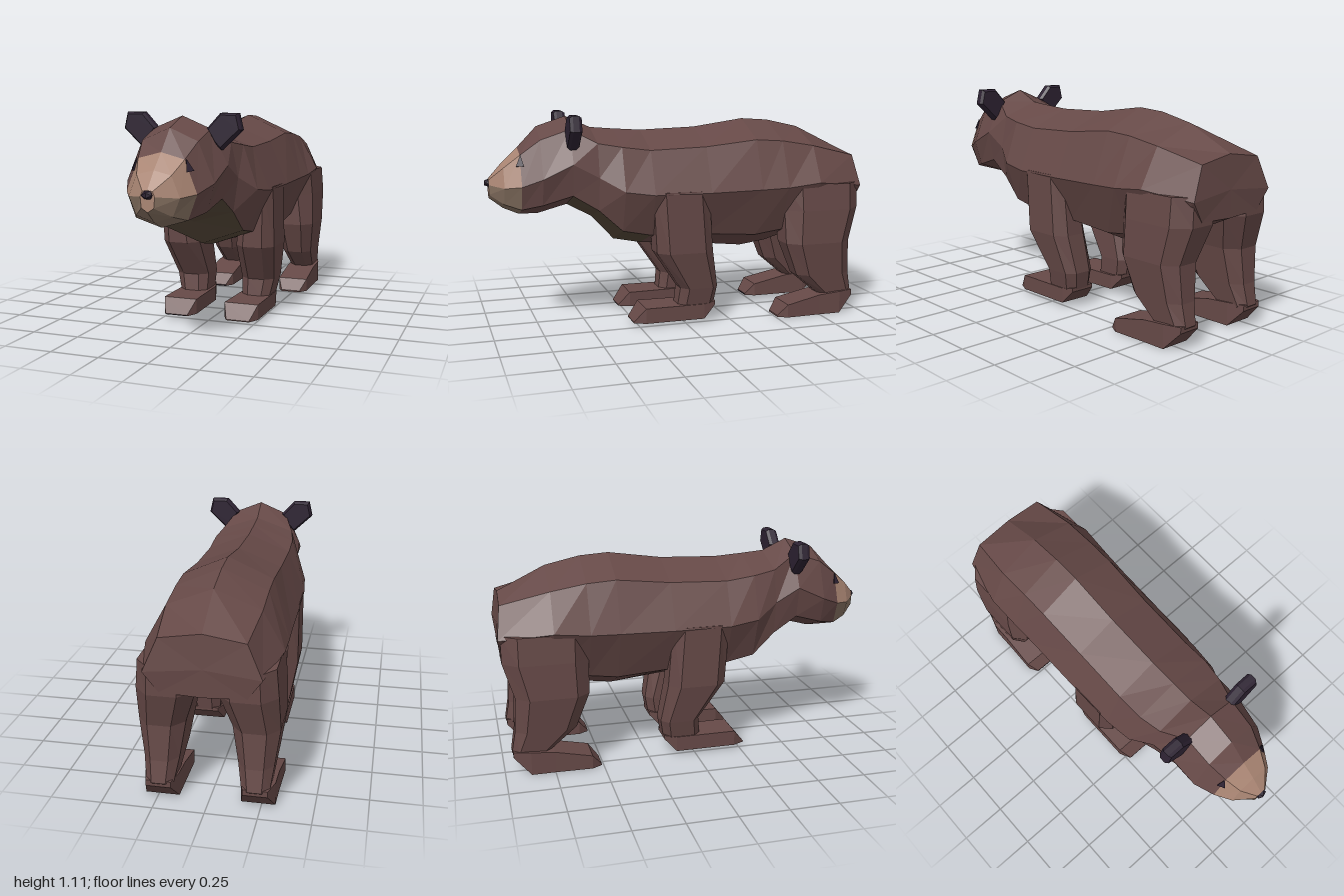
import * as THREE from 'three';

const mat = (name, color) => {
  const m = new THREE.MeshStandardMaterial({ color });
  m.name = name;
  return m;
};

// Skins closed rings of points; band(i, j) picks the material index of each quad. Facets stay flat.
function loft(rings, band = () => 0) {
  const buckets = [];
  const put = (k, ...pts) => (buckets[k] ??= []).push(...pts.flat());
  const n = rings[0].length;
  const cap = (ring, k, flip) => {
    const c = [0, 1, 2].map(a => ring.reduce((t, p) => t + p[a], 0) / n);
    ring.forEach((p, j) => {
      const q = ring[(j + 1) % n];
      flip ? put(k, c, q, p) : put(k, c, p, q);
    });
  };
  for (let i = 0; i < rings.length - 1; i++) {
    for (let j = 0; j < n; j++) {
      const a = rings[i][j], b = rings[i][(j + 1) % n];
      const d = rings[i + 1][j], c = rings[i + 1][(j + 1) % n];
      put(band(i, j), a, d, c, a, c, b);
    }
  }
  cap(rings[0], 0, false);
  cap(rings[rings.length - 1], band(rings.length - 2, 0), true);
  const g = new THREE.BufferGeometry();
  let start = 0;
  buckets.forEach((b, k) => {
    g.addGroup(start, b.length / 3, k);
    start += b.length / 3;
  });
  g.setAttribute('position', new THREE.Float32BufferAttribute(buckets.flat(), 3));
  g.computeVertexNormals();
  return g;
}

// Moves a right-handed ring to the chosen side, keeping its faces outward
const sided = (ring, s) => {
  const r = ring.map(([x, y, z]) => [x * s, y, z]);
  return s < 0 ? r.reverse() : r;
};

function flat(geometry) {
  const g = geometry.index ? geometry.toNonIndexed() : geometry;
  g.computeVertexNormals();
  return g;
}

export function createModel() {
  const fur = mat('brown fur', 0x664947);
  const tan = mat('tan muzzle', 0xa88472);
  const jaw = mat('olive tan jaw', 0x857060);
  const throat = mat('olive throat', 0x564839);
  const dark = mat('dark ear and nose', 0x2d2232);
  const sole = mat('dark sole', 0x251b22);

  const model = new THREE.Group();
  model.name = 'bear';
  const add = (name, geometry, material, parent = model) => {
    const m = new THREE.Mesh(geometry, material);
    m.name = name;
    parent.add(m);
    return m;
  };

  // Body and head: z, top y, ridge x y, side x y, low x y, bottom y, tilt
  const sections = [
    [-0.998, 0.89, 0.20, 0.86, 0.27, 0.70, 0.20, 0.60, 0.59, 0.12],
    [-0.73, 1.01, 0.225, 0.92, 0.33, 0.73, 0.22, 0.50, 0.47],
    [-0.55, 1.05, 0.225, 0.95, 0.325, 0.71, 0.22, 0.47, 0.37],
    [-0.40, 1.06, 0.225, 0.96, 0.32, 0.705, 0.22, 0.45, 0.35],
    [-0.12, 1.02, 0.22, 0.93, 0.317, 0.70, 0.22, 0.47, 0.38],
    [0.18, 1.01, 0.22, 0.92, 0.312, 0.70, 0.22, 0.48, 0.40],
    [0.33, 1.02, 0.22, 0.94, 0.295, 0.72, 0.22, 0.51, 0.43],
    [0.45, 1.03, 0.20, 0.96, 0.235, 0.79, 0.21, 0.62, 0.56],
    [0.58, 1.09, 0.145, 1.03, 0.23, 0.86, 0.20, 0.70, 0.63],
    [0.73, 1.04, 0.14, 0.98, 0.22, 0.79, 0.18, 0.655, 0.59],
    [0.83, 0.935, 0.115, 0.905, 0.175, 0.75, 0.13, 0.63, 0.59],
    [0.91, 0.86, 0.085, 0.84, 0.125, 0.74, 0.09, 0.655, 0.625],
    [0.98, 0.78, 0.025, 0.775, 0.035, 0.75, 0.03, 0.70, 0.68],
  ];
  const bodyRings = sections.map(([z, yt, xr, yr, xs, ys, xl, yl, yb, tilt = 0]) =>
    [[0, yt], [xr, yr], [xs, ys], [xl, yl], [0, yb], [-xl, yl], [-xs, ys], [-xr, yr]]
      .map(([x, y]) => [x, y, z + tilt * Math.abs(y - 0.7)]));
  const bodyBand = (i, j) => {
    const row = j < 4 ? j : 7 - j;
    if (i >= 10) return row < 2 ? 1 : 2;
    return i >= 5 && i <= 7 && row === 3 ? 3 : 0;
  };
  add('bodyAndHead', loft(bodyRings, bodyBand), [fur, tan, jaw, throat]);

  // Legs: y, x inner outer, z back front, with chamfered corners
  const legs = {
    frontLeg: [
      [0.05, 0.11, 0.25, -0.10, 0.03],
      [0.10, 0.105, 0.26, -0.165, 0.035],
      [0.19, 0.10, 0.28, -0.18, 0.025],
      [0.39, 0.105, 0.315, -0.145, 0.16],
      [0.71, 0.15, 0.313, -0.12, 0.18],
    ],
    hindLeg: [
      [0.05, 0.17, 0.30, -0.90, -0.72],
      [0.11, 0.16, 0.295, -0.96, -0.76],
      [0.22, 0.14, 0.31, -0.94, -0.63],
      [0.40, 0.11, 0.335, -0.93, -0.56],
      [0.58, 0.05, 0.33, -0.985, -0.555],
      [0.72, 0.06, 0.318, -0.985, -0.55],
    ],
  };
  const legRing = ([y, x0, x1, z0, z1]) => {
    const cx = (x1 - x0) * 0.25, cz = (z1 - z0) * 0.18;
    return [
      [x1, y, z0 + cz], [x1, y, z1 - cz], [x1 - cx, y, z1], [x0 + cx, y, z1],
      [x0, y, z1 - cz], [x0, y, z0 + cz], [x0 + cx, y, z0], [x1 - cx, y, z0],
    ];
  };

  // Feet: z, x inner outer, y bottom top
  const feet = {
    frontFoot: [
      [-0.165, 0.11, 0.25, 0.09, 0.11],
      [-0.10, 0.09, 0.265, 0.02, 0.10],
      [0.22, 0.08, 0.265, 0.02, 0.10],
      [0.28, 0.11, 0.235, 0.02, 0.025],
    ],
    hindFoot: [
      [-0.955, 0.17, 0.29, 0.09, 0.12],
      [-0.87, 0.15, 0.315, 0, 0.12],
      [-0.75, 0.15, 0.315, 0, 0.11],
      [-0.56, 0.15, 0.32, 0, 0.07],
      [-0.51, 0.18, 0.29, 0, 0.008],
    ],
  };
  const footRing = ([z, x0, x1, y0, y1]) => [[x0, y1, z], [x1, y1, z], [x1, y0, z], [x0, y0, z]];

  for (const s of [1, -1]) {
    const side = s > 0 ? 'left' : 'right';
    for (const [name, rows] of Object.entries(legs)) {
      add(`${side} ${name}`, loft(rows.map(r => sided(legRing(r), s))), fur);
    }
    for (const [name, rows] of Object.entries(feet)) {
      // The sole is the downward band of the foot
      const soleBand = s > 0 ? 2 : 0;
      add(`${side} ${name}`, loft(rows.map(r => sided(footRing(r), s)),
        (i, j) => (j === soleBand && i > 0 ? 1 : 0)), [fur, sole]);
    }

    // Ear
    const outline = [[0.14, 1.03], [0.20, 1.095], [0.275, 1.095], [0.29, 1.03], [0.20, 0.945], [0.175, 0.97]];
    const shape = new THREE.Shape(outline.map(([x, y]) => new THREE.Vector2(x * s, y)));
    const ear = new THREE.ExtrudeGeometry(shape, {
      depth: 0.03, bevelEnabled: true, bevelThickness: 0.015, bevelSize: 0.01, bevelSegments: 1,
    });
    add(`${side} ear`, flat(ear), dark).position.z = 0.56;

    // Eye
    const eye = add(`${side} eye`, flat(new THREE.ConeGeometry(0.025, 0.06, 3)), dark);
    eye.position.set(0.128 * s, 0.88, 0.828);
    eye.rotation.z = s * 0.2;
  }

  // Nose
  const nose = add('nose', flat(new THREE.IcosahedronGeometry(1, 0)), dark);
  nose.scale.set(0.03, 0.022, 0.026);
  nose.position.set(0, 0.758, 0.978);

  return model;
}
